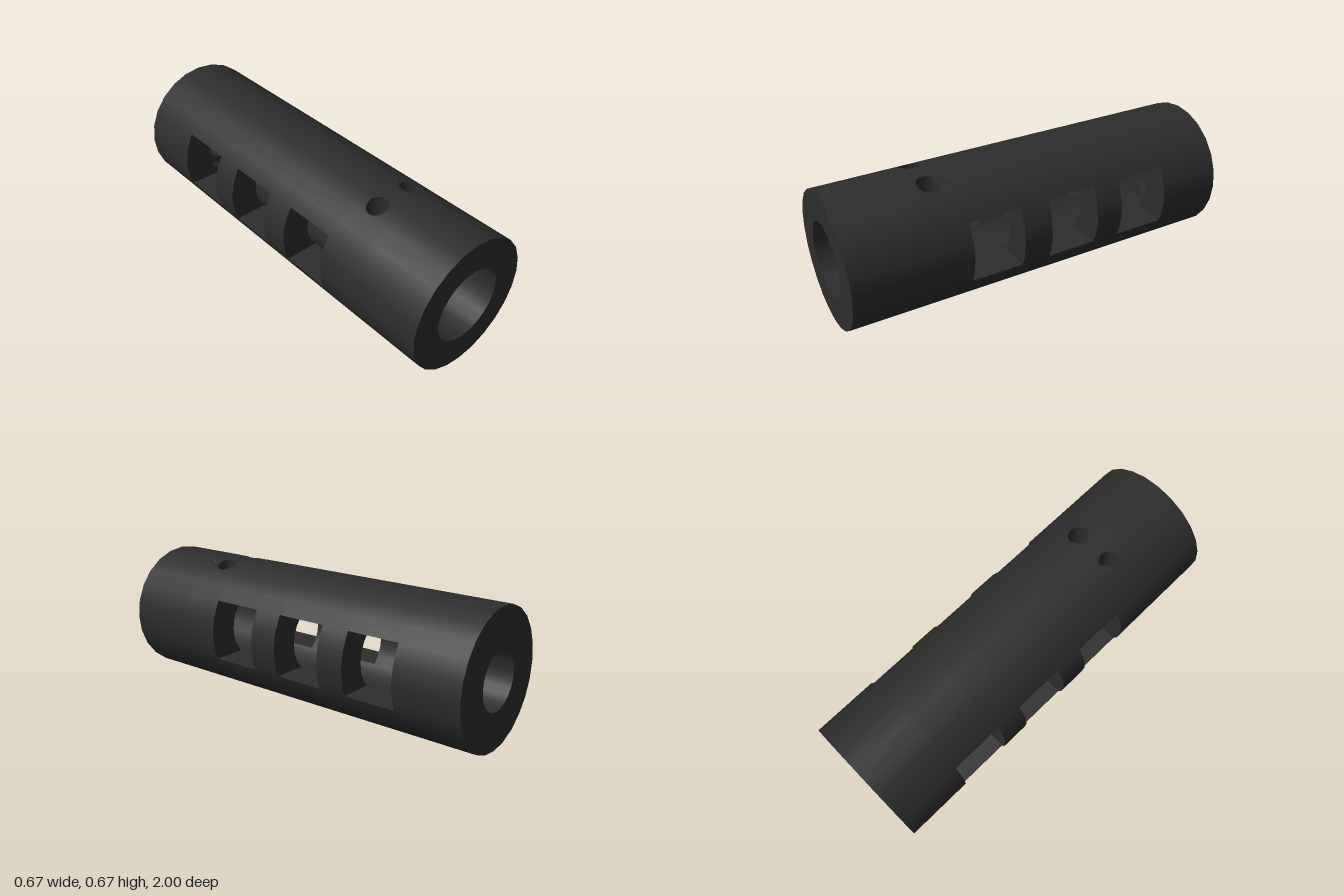
import * as THREE from 'three';
import { mergeGeometries } from 'three/addons/utils/BufferGeometryUtils.js';

const R = 0.335, BORE = 0.187, EXIT = 0.146;   // outer, main bore and rear bore radii
const STEP_Z = -0.8;                           // where the bore narrows
const SLOTS = [[-0.667, -0.4], [-0.257, 0.003], [0.152, 0.417]];
const SLOT_TOP = 0.175, SLOT_BOTTOM = -0.13;   // relative to the axis
const PORT = { x: 0.102, z: 0.53, r: 0.051, z0: 0.43, z1: 0.63, sides: 16 };
const SEG = Math.PI / 12;                      // 24-sided tube

// Point on the 24-sided outline; the angle runs from the top towards +x
function point(r, a) {
  const local = a - Math.floor(a / SEG + 1e-9) * SEG - SEG / 2;
  const d = r * Math.cos(SEG / 2) / Math.cos(local);
  return new THREE.Vector2(d * Math.sin(a), d * Math.cos(a));
}

function arc(r, a0, a1) {
  const pts = [point(r, a0)];
  for (let k = Math.floor(a0 / SEG + 1e-6) + 1; k * SEG < a1 - 1e-6; k++) pts.push(point(r, k * SEG));
  pts.push(point(r, a1));
  return pts;
}

// Height of the upper outline at x
function height(r, x) {
  const k = Math.floor(Math.asin(Math.min(1, Math.abs(x) / r)) / SEG + 1e-9);
  const p = point(r, k * SEG), q = point(r, (k + 1) * SEG);
  return p.y + (q.y - p.y) * (Math.abs(x) - p.x) / (q.x - p.x);
}

// Surface through rows of points, with a rule for the normals
function grid(rows, normalOf, flip) {
  const n = rows[0].length, pos = [], nor = [], idx = [];
  rows.forEach((row, i) => row.forEach((p, j) => {
    pos.push(p.x, p.y, p.z);
    nor.push(...normalOf(p, j).normalize().toArray());
    if (i + 1 < rows.length && j + 1 < n) {
      const a = i * n + j, b = a + 1, d = a + n, c = d + 1;
      idx.push(...(flip ? [a, c, d, a, b, c] : [a, d, c, a, c, b]));
    }
  }));
  const g = new THREE.BufferGeometry();
  g.setAttribute('position', new THREE.Float32BufferAttribute(pos, 3));
  g.setAttribute('normal', new THREE.Float32BufferAttribute(nor, 3));
  g.setIndex(idx);
  return g;
}

const radial = s => p => new THREE.Vector3(p.x * s, p.y * s, 0);

function sweep(pts, z0, z1, normalOf, flip) {
  return grid([z0, z1].map(z => pts.map(p => new THREE.Vector3(p.x, p.y, z))), normalOf, flip);
}

// Flat face across the axis
function face(pts, z, back, hole) {
  const shape = new THREE.Shape(pts);
  if (hole) shape.holes.push(new THREE.Path(hole));
  const g = new THREE.ShapeGeometry(shape);
  g.deleteAttribute('uv');
  if (back) g.rotateY(Math.PI);
  return g.translate(0, 0, z);
}

// Slot edge angles at a given radius
const cut = r => [Math.acos(SLOT_TOP / r), Math.acos(SLOT_BOTTOM / r)];

// Round wall, left open at the side slots and around the top ports
function tubeWall(r, zStart, inward, portAngle) {
  const parts = [], s = inward ? -1 : 1, full = Math.PI * 2;
  const add = (a0, a1, z0, z1) => parts.push(sweep(arc(r, a0, a1), z0, z1, radial(s), inward));
  let z = zStart;
  const [top, bottom] = cut(r);
  for (const [z0, z1] of SLOTS) {
    add(0, full, z, z0);
    add(-top, top, z0, z1);
    add(bottom, full - bottom, z0, z1);
    z = z1;
  }
  add(0, full, z, PORT.z0);
  add(portAngle, full - portAngle, PORT.z0, PORT.z1);
  add(0, full, PORT.z1, 1);
  for (const side of [-1, 1]) parts.push(portPatch(r, point(r, portAngle).x, side, inward));
  return parts;
}

function portRing(r, side, outline) {
  const ring = [];
  for (let i = 0; i <= PORT.sides; i++) {
    const t = i / PORT.sides * Math.PI * 2;
    const [x, z] = outline(Math.cos(t), Math.sin(t));
    ring.push(new THREE.Vector3(side * x, height(r, x), z));
  }
  return ring;
}
const portCircle = (c, s) => [PORT.x + PORT.r * c, PORT.z + PORT.r * s];

// Curved rectangle with a round opening
function portPatch(r, width, side, inward) {
  const rows = [0, 0.5, 1].map(f => portRing(r, side, (c, s) => {
    const m = Math.max(Math.abs(c), Math.abs(s)), [hx, hz] = portCircle(c, s);
    const ex = width / 2 * (1 + c / m);
    const ez = PORT.z + (PORT.z1 - PORT.z0) / 2 * s / m;
    return [hx + (ex - hx) * f, hz + (ez - hz) * f];
  }));
  return grid(rows, radial(inward ? -1 : 1), inward === (side < 0));
}

export function createModel() {
  const model = new THREE.Group();
  const darkSteel = new THREE.MeshStandardMaterial({ color: 0x2d2d2d });
  darkSteel.name = 'darkSteel';
  const body = new THREE.Group();
  body.name = 'slottedTube';
  body.position.y = R;
  model.add(body);
  const add = (name, parts) => {
    const mesh = new THREE.Mesh(mergeGeometries(parts), darkSteel);
    mesh.name = name;
    body.add(mesh);
  };
  const circle = r => arc(r, 0, Math.PI * 2).slice(0, -1);

  // Round walls
  add('outerWall', tubeWall(R, -1, false, Math.PI / 6));
  add('mainBore', tubeWall(BORE, STEP_Z, true, Math.PI / 3));
  add('rearBore', [sweep(arc(EXIT, 0, Math.PI * 2), -1, STEP_Z, radial(-1), true)]);

  // Ends and the step inside the bore
  add('frontEnd', [face(circle(R), 1, false, circle(BORE))]);
  add('rearEnd', [face(circle(R), -1, true, circle(EXIT))]);
  add('boreStep', [face(circle(BORE), STEP_Z, false, circle(EXIT))]);

  // Slot ceilings, floors and end walls on both sides
  const [outTop, outBottom] = cut(R), [inTop, inBottom] = cut(BORE);
  const slotFaces = [];
  const up = () => new THREE.Vector3(0, 1, 0), down = () => new THREE.Vector3(0, -1, 0);
  for (const [z0, z1] of SLOTS) for (const side of [-1, 1]) {
    const edge = (a, b) => [point(BORE, side * a), point(R, side * b)].sort((p, q) => p.x - q.x);
    slotFaces.push(sweep(edge(inTop, outTop), z0, z1, down, true));
    slotFaces.push(sweep(edge(inBottom, outBottom), z0, z1, up, false));
    const cheek = [...arc(R, outTop, outBottom), ...arc(BORE, inTop, inBottom).reverse()];
    cheek.forEach(p => { p.x *= side; });
    slotFaces.push(face(cheek, z0, false), face(cheek, z1, true));
  }
  add('slotFaces', slotFaces);

  // Walls of the two top ports
  add('portWalls', [-1, 1].map(side => grid(
    [portRing(R, side, portCircle), portRing(BORE, side, portCircle)],
    p => new THREE.Vector3(side * PORT.x - p.x, 0, PORT.z - p.z), side < 0)));
  return model;
}
